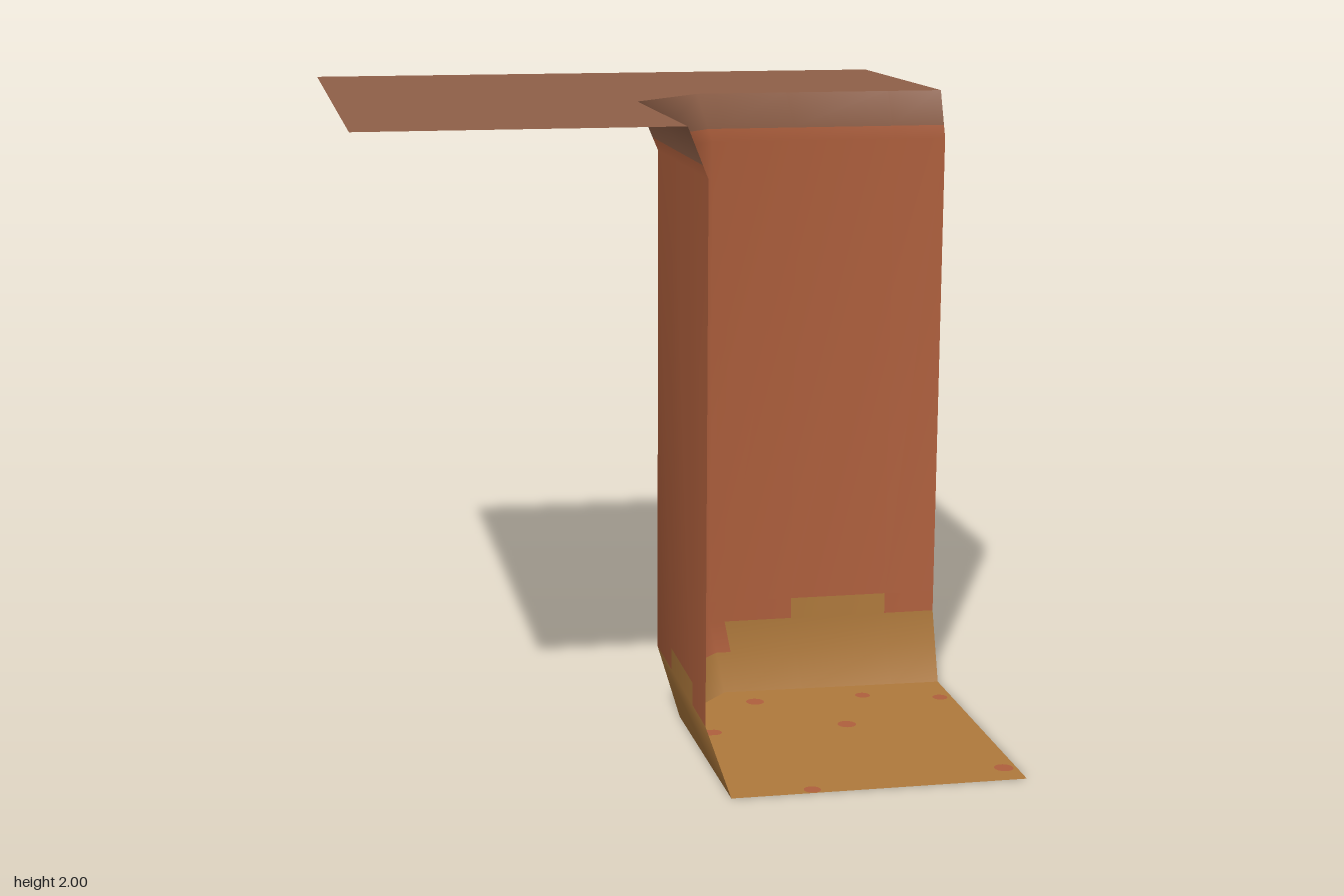
import * as THREE from 'three';

const mat = (name, color) =>
  new THREE.MeshStandardMaterial({ name, color, side: THREE.DoubleSide });

// Cliff outline as [x, z] at four heights: pit foot, above the foot, below the lip, lip
const RINGS = [
  { y: 0, pts: [[0.08, 1], [0.065, 0.27], [0.26, 0.06], [1, 0.08]] },
  { y: 0.23, pts: [[0, 1], [0, 0.22], [0.22, 0], [1, 0]] },
  { y: 1.85, pts: [[0, 1], [0, 0.22], [0.22, 0], [1, 0]] },
  { y: 2, pts: [[-0.06, 1], [-0.06, 0.19], [0.18, -0.06], [1, -0.06]] },
];

// Smooth normals on the coarse outline
function coarseGeometry() {
  const g = new THREE.BufferGeometry();
  const pos = RINGS.flatMap(r => r.pts.flatMap(([x, z]) => [x, r.y, z]));
  const idx = [];
  for (let j = 0; j < 3; j++) for (let i = 0; i < 3; i++) {
    const a = j * 4 + i;
    idx.push(a, a + 1, a + 5, a, a + 5, a + 4);
  }
  g.setAttribute('position', new THREE.Float32BufferAttribute(pos, 3));
  g.setIndex(idx);
  g.computeVertexNormals();
  return g;
}

// Wall grid cut along the stepped soil line and the turf line
function wallGeometry() {
  const coarse = coarseGeometry();
  const cols = [0, 0.256, 0.69, 1, 1.2, 2, 2.065, 2.36, 2.78, 3];
  const soil = [0.23, 0.3, 0.23, 0.23, 0.13, 0.13, 0.23, 0.3, 0.23];
  const rows = [0, 0.13, 0.23, 0.3, 1.85, 1.89, 2];
  const sample = (attr, u, y) => {
    const i = Math.min(2, Math.floor(u));
    const j = y < 0.23 ? 0 : y < 1.85 ? 1 : 2;
    const t = (y - RINGS[j].y) / (RINGS[j + 1].y - RINGS[j].y);
    const at = k => new THREE.Vector3().fromBufferAttribute(attr, k);
    const low = at(j * 4 + i).lerp(at(j * 4 + i + 1), u - i);
    const high = at(j * 4 + i + 4).lerp(at(j * 4 + i + 5), u - i);
    return low.lerp(high, t);
  };
  const pos = [], nor = [], faces = [[], [], []];
  for (const y of rows) for (const u of cols) {
    pos.push(...sample(coarse.attributes.position, u, y).toArray());
    nor.push(...sample(coarse.attributes.normal, u, y).normalize().toArray());
  }
  const n = cols.length;
  for (let j = 0; j < rows.length - 1; j++) for (let i = 0; i < n - 1; i++) {
    const kind = rows[j + 1] <= soil[i] ? 0 : rows[j] >= 1.89 ? 2 : 1;
    const a = j * n + i;
    faces[kind].push(a, a + 1, a + n + 1, a, a + n + 1, a + n);
  }
  const g = new THREE.BufferGeometry();
  g.setAttribute('position', new THREE.Float32BufferAttribute(pos, 3));
  g.setAttribute('normal', new THREE.Float32BufferAttribute(nor, 3));
  g.setIndex(faces.flat());
  let start = 0;
  faces.forEach((f, k) => { g.addGroup(start, f.length, k); start += f.length; });
  return g;
}

// Horizontal flat shape from [x, z] points
const flatShape = pts => new THREE.Shape(pts.map(([x, z]) => new THREE.Vector2(x, -z)));
const layFlat = (shape, y) =>
  new THREE.ShapeGeometry(shape).rotateX(-Math.PI / 2).translate(0, y, 0);

// Rounded spot, optionally stretched along x
function spotPoints([x, z, r, stretch = 0]) {
  const pts = [];
  for (let i = 0; i < 16; i++) {
    const a = (i + 0.5) / 16 * Math.PI * 2;
    pts.push([x + r * Math.cos(a) + Math.sign(Math.cos(a)) * stretch, z + r * Math.sin(a)]);
  }
  return pts;
}

export function createModel() {
  const model = new THREE.Group();
  model.name = 'cliffCorner';
  const turf = mat('turfBrown', 0x8f6048);
  const rock = mat('rockRed', 0xb0603d);
  const sand = mat('sandTan', 0xb07a3c);
  const add = (name, geometry, material) => {
    const m = new THREE.Mesh(geometry, material);
    m.name = name;
    model.add(m);
  };

  // Upper ground around the pit
  const lip = RINGS[3].pts;
  add('upperGround', layFlat(flatShape([[-1, 1], ...lip, [1, -1], [-1, -1]]), 2), turf);

  // Cliff wall with sandy foot and turf lip
  add('cliffWall', wallGeometry(), [sand, rock, turf]);

  // Pit floor with inlaid spots
  const spots = [
    [0.34, 0.17, 0.03], [0.71, 0.17, 0.025], [0.96, 0.235, 0.025], [0.585, 0.435, 0.03],
    [0.96, 0.9, 0.03], [0.335, 0.972, 0.026], [0.123, 0.435, 0.025, 0.023],
  ];
  const floor = flatShape([...RINGS[0].pts, [1, 1]]);
  spots.forEach((s, i) => {
    const spot = flatShape(spotPoints(s));
    floor.holes.push(spot);
    add('floorSpot' + (i + 1), layFlat(spot, 0), rock);
  });
  add('pitFloor', layFlat(floor, 0), sand);
  return model;
}
